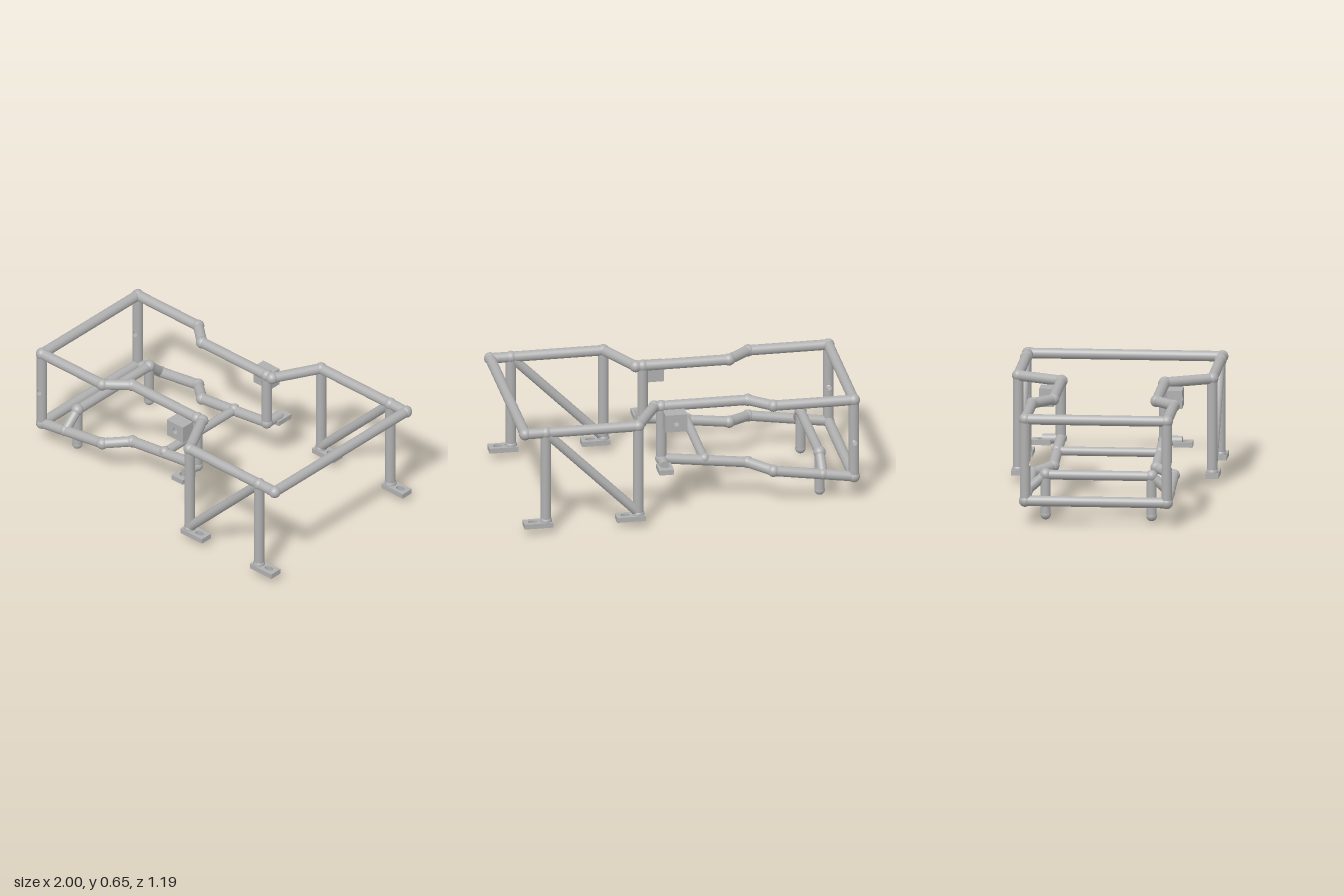
import * as THREE from 'three';
import { ParametricGeometry } from 'three/addons/geometries/ParametricGeometry.js';
import { mergeGeometries } from 'three/addons/utils/BufferGeometryUtils.js';

const R = 0.03;       // tube radius
const JOINT = 0.035;  // joint ball radius
const TOP = 0.615;    // height of the upper frame

export function createModel() {
  const model = new THREE.Group();
  model.name = 'tubularFrame';
  const metal = new THREE.MeshStandardMaterial({ color: 0xb0b0b0 });
  metal.name = 'plain grey metal';

  const add = (name, geometry, x = 0, y = 0, z = 0) => {
    const mesh = new THREE.Mesh(geometry, metal);
    mesh.name = name;
    mesh.position.set(x, y, z);
    model.add(mesh);
    return mesh;
  };

  // Straight tube between two points
  const tube = (name, a, b, r = R) => {
    const p = new THREE.Vector3(...a), q = new THREE.Vector3(...b);
    const dir = q.clone().sub(p);
    const mesh = add(name, new THREE.CylinderGeometry(r, r, dir.length(), 28));
    mesh.position.copy(p).add(q).multiplyScalar(0.5);
    mesh.quaternion.setFromUnitVectors(new THREE.Vector3(0, 1, 0), dir.normalize());
  };
  const ball = (name, p, r = JOINT) => add(name, new THREE.SphereGeometry(r, 28, 18), ...p);

  // Tubes through a row of points, with a ball at each
  const rail = (name, points) => points.forEach((p, i) => {
    ball(name + 'Joint', p);
    if (i) tube(name, points[i - 1], p);
  });

  // Rectangular block with an elliptical hole, extruded along z
  const drilled = (w, h, depth, hx, rx, ry) => {
    const shape = new THREE.Shape();
    shape.moveTo(-w / 2, -h / 2).lineTo(w / 2, -h / 2).lineTo(w / 2, h / 2).lineTo(-w / 2, h / 2).closePath();
    const hole = new THREE.Path();
    hole.absellipse(hx, 0, rx, ry, 0, Math.PI * 2, true);
    shape.holes.push(hole);
    return new THREE.ExtrudeGeometry(shape, { depth, bevelEnabled: false, curveSegments: 14 });
  };

  // Short tube section with a cross hole bored along z
  const boredSection = () => {
    const bore = 0.017;
    const shell = new ParametricGeometry((u, v, t) => {
      const a = -2 * Math.PI * u, c = Math.cos(a), s = Math.sin(a);
      const edge = R / Math.max(Math.abs(c), Math.abs(s));
      const d = bore + (edge - bore) * Math.sin(v * Math.PI / 2);
      t.set(d * c, d * s, Math.sqrt(Math.max(0, R * R - d * d * c * c)));
    }, 48, 10);
    const pos = shell.attributes.position, nor = shell.attributes.normal;
    for (let i = 0; i < pos.count; i++) nor.setXYZ(i, pos.getX(i) / R, 0, pos.getZ(i) / R);
    const lining = new ParametricGeometry((u, v, t) => {
      const a = -2 * Math.PI * u, x = bore * Math.cos(a);
      t.set(x, bore * Math.sin(a), (v * 2 - 1) * Math.sqrt(R * R - x * x));
    }, 48, 2);
    return mergeGeometries([shell, shell.clone().rotateY(Math.PI), lining]);
  };

  for (const s of [1, -1]) {
    const side = s > 0 ? 'front' : 'back';
    const zIn = 0.295 * s, zMid = 0.405 * s, zOut = 0.555 * s;

    // Long rails
    rail(side + 'UpperRail', [
      [-0.965, TOP, zMid], [-0.5, TOP, zMid], [-0.37, TOP, zIn],
      [0.17, TOP, zIn], [0.31, TOP, zOut], [0.965, TOP, zOut],
    ]);
    rail(side + 'LowerRail', [
      [-0.965, 0.142, zMid], [-0.5, 0.211, zMid], [-0.37, 0.229, zIn], [0.13, 0.292, zIn],
    ]);

    // End post with the bored hole
    tube(side + 'EndPostLower', [-0.965, 0.142, zMid], [-0.965, 0.33, zMid]);
    add(side + 'EndPostHole', boredSection(), -0.965, 0.36, zMid);
    tube(side + 'EndPostUpper', [-0.965, 0.39, zMid], [-0.965, TOP, zMid]);

    // Inner post with its outrigger and drilled foot
    ball(side + 'InnerPostJoint', [0.13, TOP, zIn]);
    tube(side + 'InnerPost', [0.13, 0.292, zIn], [0.13, TOP, zIn]);
    tube(side + 'FootOutrigger', [0.13, 0.287, zIn], [0.13, 0.287, 0.4 * s], 0.028);
    const innerFoot = drilled(0.085, 0.11, 0.03, 0, 0.024, 0.024).rotateX(-Math.PI / 2);
    add(side + 'InnerFoot', innerFoot, 0.1275, 0.256, 0.405 * s);

    // Mounting block with a blind hole on its outer face
    const block = drilled(0.125, 0.105, 0.05, 0, 0.018, 0.018);
    if (s < 0) block.rotateY(Math.PI);
    add(side + 'MountBlock', block, 0.0625, 0.549, 0.358 * s);
    add(side + 'MountBlockBase', new THREE.BoxGeometry(0.125, 0.105, 0.034), 0.0625, 0.549, 0.341 * s);

    // Outer legs, brace and slotted feet
    for (const x of [0.31, 0.845]) {
      tube(side + 'Leg', [x, 0.07, zOut], [x, TOP, zOut]);
      ball(side + 'LegTopJoint', [x, TOP, zOut]);
      // Foot ball kept only above the plate
      add(side + 'LegFootJoint', new THREE.SphereGeometry(JOINT, 28, 10, 0, Math.PI * 2, 0, Math.PI / 2), x, 0.07, zOut);
      const foot = drilled(0.165, 0.076, 0.03, 0.03, 0.028, 0.019).rotateX(-Math.PI / 2);
      add(side + 'LegFoot', foot, x + 0.0465, 0.04, zOut);
    }
    tube(side + 'DiagonalBrace', [0.31, 0.08, zOut], [0.845, TOP, zOut], 0.027);

    // Hanging stub and its link to the lower rail
    const zStub = 0.303 * s;
    tube(side + 'Stub', [-0.785, 0.03, zStub], [-0.785, 0.262, zStub], 0.029);
    ball(side + 'StubTip', [-0.785, 0.03, zStub], R);
    ball(side + 'StubTop', [-0.785, 0.262, zStub]);
    tube(side + 'StubLink', [-0.785, 0.262, zStub], [-0.785, 0.17, zMid], 0.028);
    ball(side + 'StubLinkJoint', [-0.785, 0.17, zMid], 0.033);
    ball(side + 'MiddleCrossbarJoint', [-0.12, 0.272, zIn], 0.031);
  }

  // Crossbars
  for (const [name, x, y, z, r] of [
    ['upperEndCrossbar', -0.965, TOP, 0.405, R],
    ['lowerEndCrossbar', -0.965, 0.142, 0.405, R],
    ['stubCrossbar', -0.785, 0.26, 0.303, 0.028],
    ['middleCrossbar', -0.12, 0.266, 0.295, 0.026],
    ['wideEndCrossbar', 0.965, TOP, 0.555, R],
  ]) tube(name, [x, y, -z], [x, y, z], r);

  return model;
}
